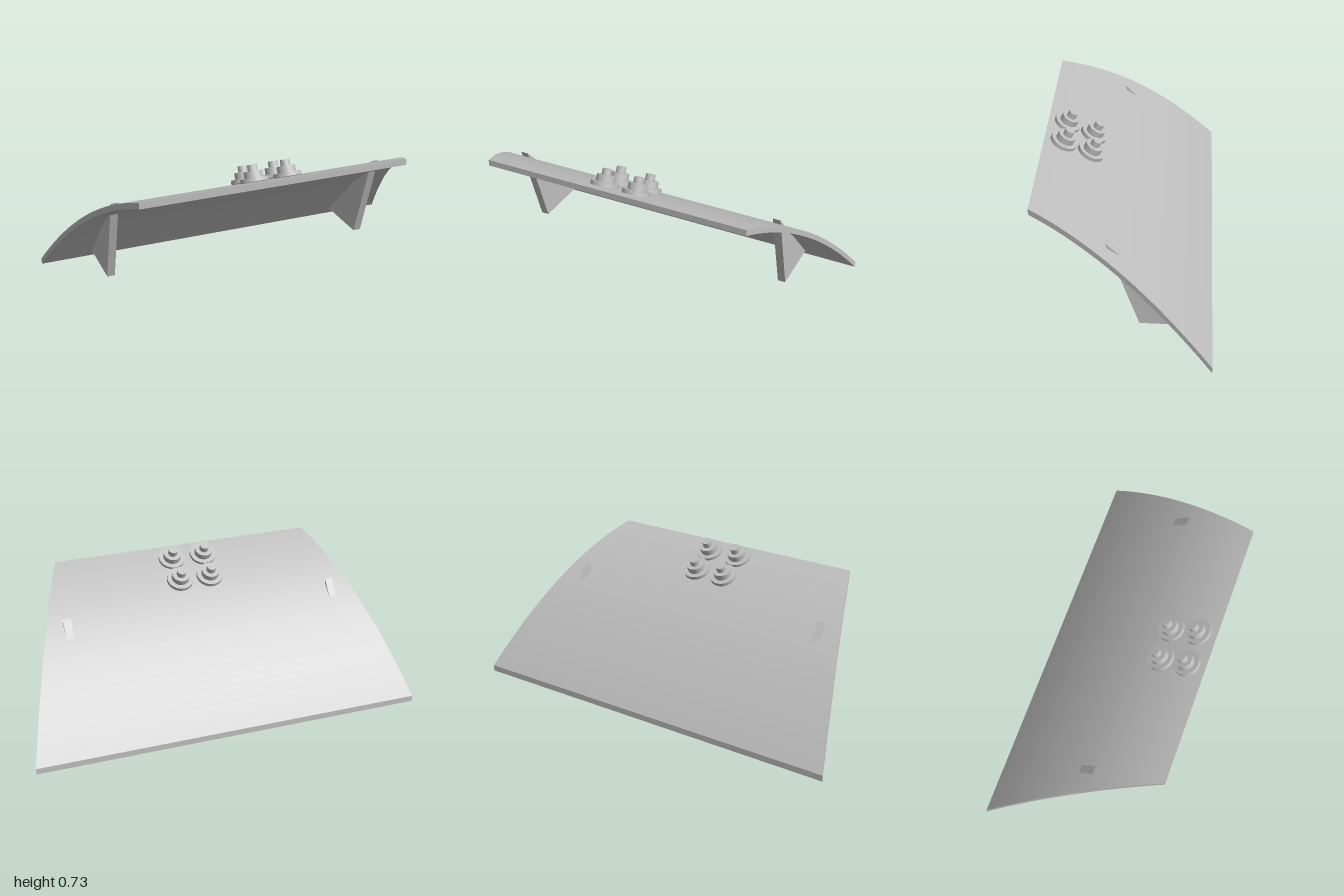
import * as THREE from 'three';

const HALF = 0.43;        // half depth of the plate along z
const THICK = 0.032;      // vertical plate thickness
const curveY = (z) => 0.45 + 0.7465 * z - 0.508 * z * z;
const halfWidth = (z) => 0.845 - 0.36 * z;

// Curved, tapered plate: a segmented box bent along z
function plateGeometry() {
  const geo = new THREE.BoxGeometry(2, 1, 2 * HALF, 1, 1, 32);
  const p = geo.attributes.position;
  for (let i = 0; i < p.count; i++) {
    const z = p.getZ(i);
    const y = curveY(z) - (p.getY(i) < 0 ? THICK : 0);
    p.setXYZ(i, Math.sign(p.getX(i)) * halfWidth(z), y, z);
  }
  geo.computeVertexNormals();
  return geo;
}

// Triangular fin, drawn in the z-y plane and given a thickness along x
function finGeometry() {
  const shape = new THREE.Shape([
    new THREE.Vector2(0.08, 0.53),
    new THREE.Vector2(-0.39, 0.048),
    new THREE.Vector2(-0.08, 0.048),
  ]);
  const geo = new THREE.ExtrudeGeometry(shape, { depth: 0.04, bevelEnabled: false });
  geo.translate(0, 0, -0.02);
  geo.rotateY(-Math.PI / 2);
  return geo;
}

// Bolt: washer, nut and stud stacked on one axis
function createBolt(material) {
  const bolt = new THREE.Group();
  let y = 0;
  for (const [name, radius, height] of [
    ['washer', 0.069, 0.02],
    ['nut', 0.046, 0.033],
    ['stud', 0.024, 0.031],
  ]) {
    const mesh = new THREE.Mesh(new THREE.CylinderGeometry(radius, radius, height, 32), material);
    mesh.name = name;
    mesh.position.y = y + height / 2;
    y += height;
    bolt.add(mesh);
  }
  return bolt;
}

export function createModel() {
  const model = new THREE.Group();
  model.name = 'curvedPlate';
  const grey = new THREE.MeshStandardMaterial({ color: 0xbfbfbf });
  grey.name = 'grey metal';

  const plate = new THREE.Mesh(plateGeometry(), grey);
  plate.name = 'plate';
  model.add(plate);

  const finGeo = finGeometry();
  for (const [side, label] of [[1, 'left'], [-1, 'right']]) {
    const fin = new THREE.Mesh(finGeo, grey);
    fin.name = label + 'Fin';
    fin.position.x = side * 0.712;
    model.add(fin);

    // Front and rear bolts, tilted with the plate
    for (const [row, x, y, z] of [
      ['Front', 0.086, 0.644, 0.339],
      ['Rear', 0.081, 0.585, 0.205],
    ]) {
      const bolt = createBolt(grey);
      bolt.name = label + row + 'Bolt';
      bolt.position.set(side * x, y, z);
      bolt.rotation.x = THREE.MathUtils.degToRad(-27.5);
      model.add(bolt);
    }
  }
  return model;
}
